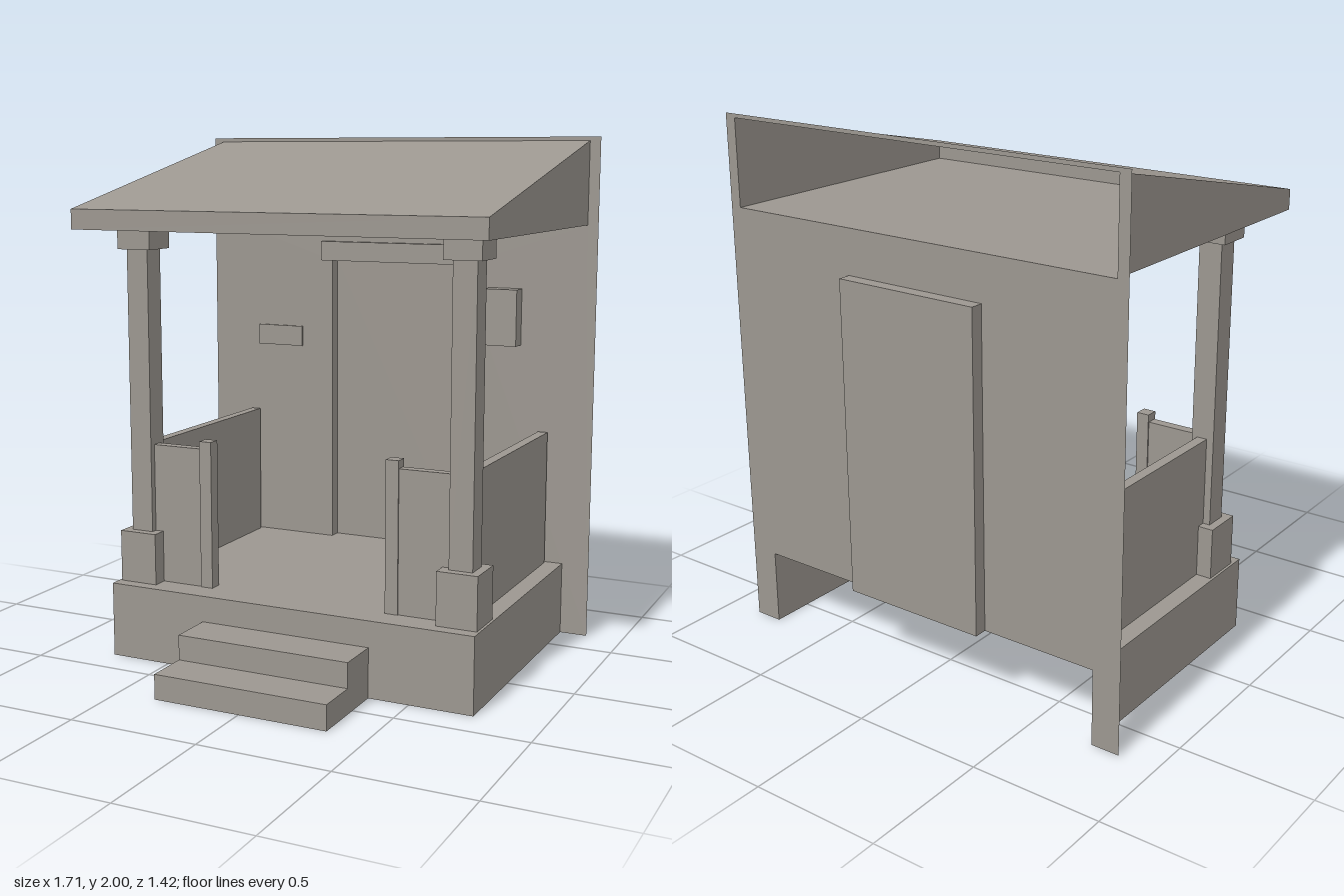
import * as THREE from 'three';

const FACES = ['right', 'left', 'top', 'bottom', 'front', 'back'];
const BACK = -0.66, FLOOR = 0.29;

export function createModel() {
  const model = new THREE.Group();
  model.name = 'porch';
  const grey = new THREE.MeshStandardMaterial({ color: 0x9c9790, side: THREE.DoubleSide });
  grey.name = 'warm grey';

  const add = (name, geometry) => {
    const mesh = new THREE.Mesh(geometry, grey);
    mesh.name = name;
    model.add(mesh);
    return mesh;
  };

  // Box given by its extents; the faces named in open are left out
  const box = (name, [x0, x1], [y0, y1], [z0, z1], open = []) => {
    const g = new THREE.BoxGeometry(Math.abs(x1 - x0), y1 - y0, z1 - z0);
    const index = Array.from(g.index.array);
    g.setIndex(index.filter((_, i) => !open.includes(FACES[Math.floor(i / 6)])));
    g.clearGroups();
    g.translate((x0 + x1) / 2, (y0 + y1) / 2, (z0 + z1) / 2);
    return add(name, g);
  };

  // Flat sheet with holes, drawn in x and y
  const sheet = (outline, holes = []) => {
    const points = list => list.map(([x, y]) => new THREE.Vector2(x, y));
    const shape = new THREE.Shape(points(outline));
    shape.holes = holes.map(h => new THREE.Path(points(h)));
    return new THREE.ShapeGeometry(shape);
  };

  // House wall, cut out behind the deck, the door and the roof
  const wall = sheet(
    [[-0.855, 0], [-0.745, 0], [-0.745, FLOOR], [-0.29, FLOOR], [-0.29, 1.49], [0.29, 1.49],
      [0.29, FLOOR], [0.745, FLOOR], [0.745, 0], [0.855, 0], [0.855, 2], [-0.855, 2]],
    [[[-0.812, 1.66], [0.812, 1.66], [0.812, 1.985], [-0.812, 1.985]]]);
  add('wall', wall.translate(0, 0, BACK));

  // Recessed door with its lintel
  box('doorRecess', [-0.29, 0.29], [FLOOR, 1.49], [-0.71, BACK], ['front']);
  box('doorLintel', [-0.332, 0.328], [1.49, 1.57], [BACK, -0.635]);

  // Wall fittings
  box('wallBox', [0.413, 0.55], [1.175, 1.402], [BACK, -0.595]);
  box('wallPlate', [-0.64, -0.432], [1.117, 1.202], [BACK, -0.652]);

  // Hollow deck: sides, front with step opening, floor open under the posts and rails
  box('deckSides', [-0.745, 0.745], [0, FLOOR], [BACK, 0.365], ['top', 'bottom', 'front', 'back']);
  const deckFront = sheet([[-0.745, 0], [-0.343, 0], [-0.343, 0.19], [0.343, 0.19], [0.343, 0],
    [0.745, 0], [0.745, FLOOR], [-0.745, FLOOR]]);
  add('deckFront', deckFront.translate(0, 0, 0.365));
  const footprint = [[0.635, -0.645], [0.675, -0.645], [0.675, 0.155], [0.735, 0.155],
    [0.735, 0.315], [0.58, 0.315], [0.58, 0.255], [0.41, 0.255], [0.41, 0.26], [0.36, 0.26],
    [0.36, 0.21], [0.41, 0.21], [0.41, 0.215], [0.58, 0.215], [0.58, 0.155], [0.635, 0.155]];
  const floor = sheet(
    [[-0.745, -0.365], [0.745, -0.365], [0.745, -BACK], [-0.745, -BACK]],
    [1, -1].map(s => footprint.map(([x, z]) => [s * x, -z])));
  add('deckFloor', floor.rotateX(-Math.PI / 2).translate(0, FLOOR, 0));

  // Two hollow steps
  box('lowerStep', [-0.343, 0.343], [0, 0.095], [0.54, 0.71], ['bottom', 'back']);
  box('upperStep', [-0.343, 0.343], [0, 0.19], [0.365, 0.54], ['bottom', 'back', 'front']);
  box('upperRiser', [-0.343, 0.343], [0.095, 0.19], [0.365, 0.54],
    ['right', 'left', 'top', 'bottom', 'back']);

  // Posts and railings, mirrored
  for (const s of [1, -1]) {
    const side = s > 0 ? 'left' : 'right';
    const span = (a, b) => [s * a, s * b];
    box(side + 'PostBase', span(0.58, 0.735), [FLOOR, 0.49], [0.155, 0.315], ['bottom']);
    box(side + 'Post', span(0.613, 0.703), [0.49, 1.58], [0.19, 0.28]);
    box(side + 'PostCap', span(0.587, 0.728), [1.58, 1.66], [0.165, 0.305], ['top']);
    box(side + 'SideRail', span(0.635, 0.675), [FLOOR, 0.83], [-0.645, 0.19], ['bottom']);
    box(side + 'FrontRail', span(0.41, 0.613), [FLOOR, 0.83], [0.215, 0.255], ['bottom']);
    box(side + 'Newel', span(0.36, 0.41), [FLOOR, 0.86], [0.21, 0.26], ['bottom']);
  }

  // Lean-to roof, open towards the house
  const roof = box('roof', [-0.812, 0.812], [1.66, 1.735], [BACK, 0.48], ['back']).geometry;
  const p = roof.attributes.position;
  for (let i = 0; i < p.count; i++) {
    if (p.getZ(i) < 0 && p.getY(i) > 1.7) p.setY(i, 1.985);
  }
  roof.computeVertexNormals();

  return model;
}
